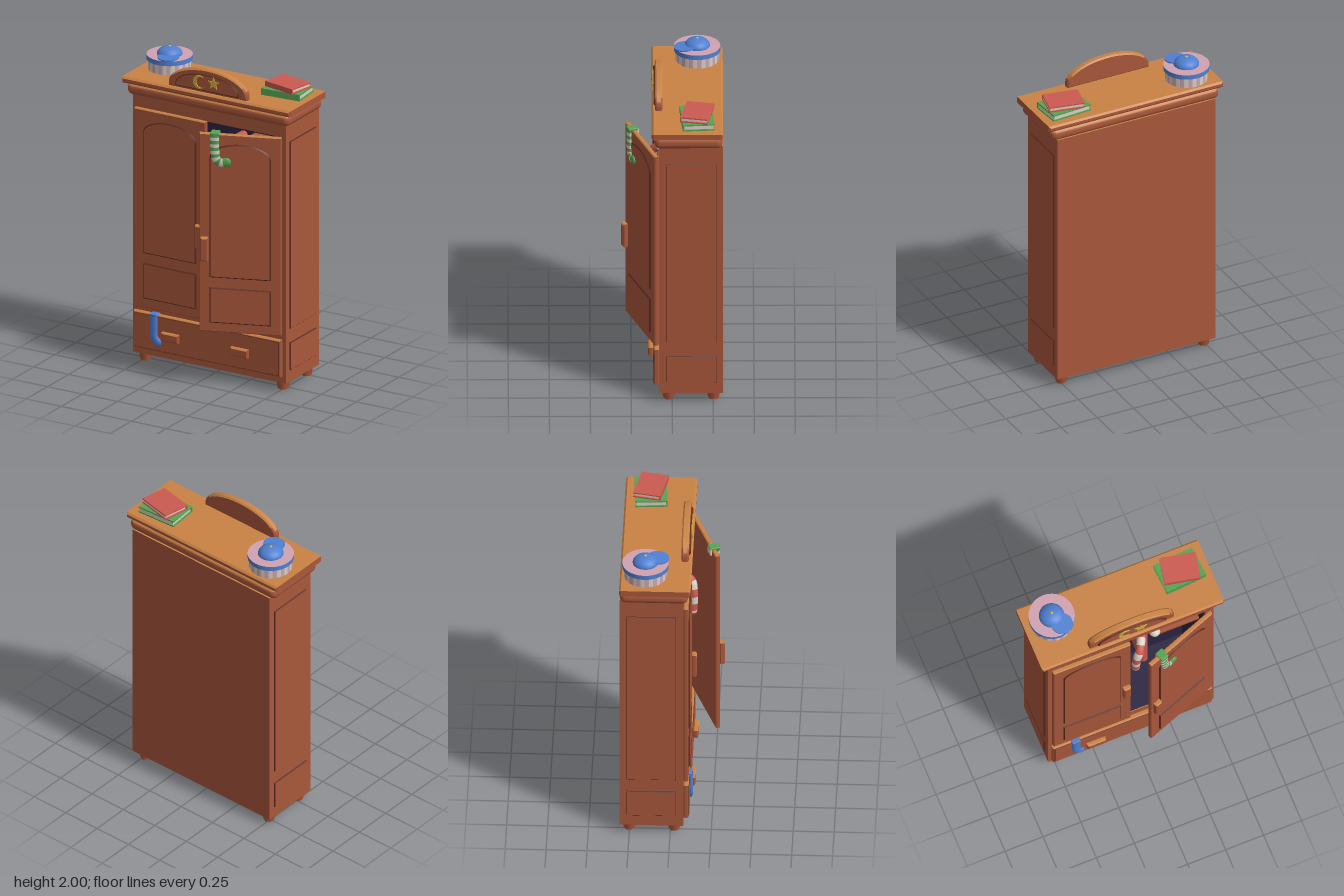
import * as THREE from 'three';
import { RoundedBoxGeometry } from 'three/addons/geometries/RoundedBoxGeometry.js';

const mat = (name, color, side = THREE.FrontSide) => {
  const m = new THREE.MeshStandardMaterial({ color, side });
  m.name = name;
  return m;
};

export function createModel() {
  const wood = mat('wood', 0xa9573b), lightWood = mat('lightWood', 0xc98245), darkWood = mat('darkWood', 0x5a2b1e);
  const navy = mat('navy', 0x2a2440), blue = mat('blue', 0x4f80d2, THREE.DoubleSide), pink = mat('pink', 0xcfa2b2);
  const cream = mat('cream', 0xd8d2c4, THREE.DoubleSide), yellow = mat('yellow', 0xd2ae3c);
  const red = mat('red', 0xcb5a50, THREE.DoubleSide), green = mat('green', 0x55a352, THREE.DoubleSide);

  const model = new THREE.Group();
  model.name = 'wardrobe';
  const add = (name, geo, material, x = 0, y = 0, z = 0, parent = model) => {
    const m = new THREE.Mesh(geo, material);
    m.name = name;
    m.position.set(x, y, z);
    parent.add(m);
    return m;
  };

  // wood part whose upward faces are the lighter wood
  const addWood = (name, geo, x, y, z, parent) => {
    const g = geo.index ? geo.toNonIndexed() : geo;
    g.clearGroups();
    const p = g.attributes.position, up = [], rest = [], t = new THREE.Triangle(), n = new THREE.Vector3();
    for (let i = 0; i < p.count; i += 3) {
      t.setFromAttributeAndIndices(p, i, i + 1, i + 2).getNormal(n);
      (n.y > 0.5 ? up : rest).push(i, i + 1, i + 2);
    }
    g.setIndex([...rest, ...up]);
    g.addGroup(0, rest.length, 0);
    g.addGroup(rest.length, up.length, 1);
    return add(name, g, [wood, lightWood], x, y, z, parent);
  };
  const extrude = (shape, depth, bevel = 0, curveSegments = 12) => new THREE.ExtrudeGeometry(shape, {
    depth: depth - bevel, curveSegments, bevelEnabled: bevel > 0, bevelThickness: bevel, bevelSize: bevel, bevelOffset: -bevel, bevelSegments: 1,
  });
  // rectangle from (x0,y0) to (x1,y1), optionally with an arch rising above it
  const outline = (x0, x1, y0, y1, arch = 0) => {
    const s = new THREE.Shape().moveTo(x0, y0).lineTo(x1, y0).lineTo(x1, y1);
    if (arch) s.absellipse((x0 + x1) / 2, y1, (x1 - x0) / 2, arch, 0, Math.PI, false);
    else s.lineTo(x0, y1);
    s.closePath();
    return s;
  };
  // chamfered block, centred in x and z, standing on y = 0
  const block = (w, h, d, b = 0.008) => {
    const g = new THREE.ExtrudeGeometry(outline(-w / 2, w / 2, 0, h), {
      depth: d - 2 * b, bevelSize: b, bevelThickness: b, bevelOffset: -b, bevelSegments: 1,
    });
    return g.translate(0, 0, -d / 2 + b);
  };

  // carcass with a dark hollow
  const bodyShape = outline(-0.545, 0.545, 0.055, 1.745);
  bodyShape.holes.push(outline(-0.49, 0.49, 0.38, 1.655));
  addWood('body', extrude(bodyShape, 0.36), 0, 0, -0.28);
  addWood('backPanel', new THREE.BoxGeometry(1.09, 1.69, 0.03), 0, 0.9, -0.295);
  const liningShape = outline(-0.489, 0.489, 0.381, 1.654);
  liningShape.holes.push(outline(-0.482, 0.482, 0.388, 1.647));
  add('lining', extrude(liningShape, 0.355), navy, 0, 0, -0.28);
  add('liningBack', new THREE.BoxGeometry(0.97, 1.265, 0.008), navy, 0, 1.018, -0.274);

  // side panels, feet
  for (const s of [-1, 1]) {
    for (const [y0, y1] of [[0.13, 0.31], [0.4, 1.62]]) {
      const p = add('sidePanel', extrude(outline(-0.153, 0.153, y0, y1), 0.009, 0.004), [wood, darkWood], s * 0.545, 0, -0.117);
      p.rotation.y = s * Math.PI / 2;
    }
    for (const z of [0.022, -0.252])
      addWood('foot', new THREE.CylinderGeometry(0.042, 0.033, 0.056, 6), s * 0.49, 0.028, z);
  }

  // cornice
  addWood('corniceRoll', new RoundedBoxGeometry(1.156, 0.08, 0.418, 4, 0.036), 0, 1.773, -0.099);
  addWood('corniceSlab', block(1.2, 0.04, 0.437, 0.011), 0, 1.81, -0.0925);

  // crest with moon and star
  addWood('crest', extrude(outline(-0.28, 0.28, 1.848, 1.872, 0.128), 0.038, 0.009, 24), 0, 0, 0.067);
  add('crestPanel', extrude(outline(-0.225, 0.225, 1.862, 1.878, 0.092), 0.01, 0.007, 24), [wood, darkWood], 0, 0, 0.104);
  const r = 0.044, tip = 0.8, d = 0.014;
  const ix = r * Math.cos(tip) - d, iy = r * Math.sin(tip), beta = Math.atan2(iy, ix);
  const moon = new THREE.Shape().absarc(0, 0, r, tip, 2 * Math.PI - tip, false);
  moon.absarc(d, 0, Math.hypot(ix, iy), -beta, beta, true);
  add('moon', extrude(moon, 0.007), yellow, -0.05, 1.918, 0.113);
  const star = new THREE.Shape();
  for (let i = 0; i < 10; i++) {
    const a = Math.PI / 2 + i * Math.PI / 5, q = i % 2 ? 0.018 : 0.042;
    star[i ? 'lineTo' : 'moveTo'](q * Math.cos(a), q * Math.sin(a));
  }
  add('star', extrude(star, 0.007), yellow, 0.052, 1.925, 0.113);

  // doors: s points from hinge to free edge
  const makeDoor = (name, hingeX, s, angle) => {
    const door = new THREE.Group();
    door.name = name;
    door.position.set(hingeX, 0, 0.08);
    door.rotation.y = angle;
    model.add(door);
    addWood('doorLeaf', block(0.51, 1.29, 0.03, 0.006), s * 0.255, 0.37, 0.015, door);
    for (const [y0, y1, arch] of [[0.43, 0.66, 0], [0.725, 1.51, 0.09]])
      add('doorPanel', extrude(outline(-0.19, 0.19, y0, y1, arch), 0.008, 0.0075, 16), [wood, darkWood], s * 0.255, 0, 0.03, door);
    addWood('doorHandle', block(0.048, 0.155, 0.036), s * 0.475, 0.835, 0.048, door);
    return door;
  };
  makeDoor('rightDoor', -0.52, 1, 0);
  const openDoor = makeDoor('leftDoor', 0.52, -1, 0.355);

  // drawer
  addWood('drawer', block(1.05, 0.24, 0.032, 0.007), 0, 0.1, 0.096);
  add('drawerPanel', extrude(outline(-0.515, 0.515, 0.108, 0.33), 0.004, 0.0038), [wood, darkWood], 0, 0, 0.111);
  for (const s of [-1, 1]) addWood('drawerHandle', block(0.122, 0.055, 0.032), s * 0.247, 0.19, 0.13);

  // flattened cloth tube, striped ring by ring, with a rounded toe
  const sock = (name, pts, radius, flat, colours, every, x, y, z, parent) => {
    const curve = new THREE.CatmullRomCurve3(pts.map(p => new THREE.Vector3(...p)));
    const rings = 22, sides = 12;
    const g = new THREE.TubeGeometry(curve, rings, radius, sides).scale(1, 1, flat);
    for (let j = 0; j < rings; j++) g.addGroup(j * sides * 6, sides * 6, Math.floor(j / every) % colours.length);
    const m = add(name, g, colours, x, y, z, parent);
    const end = pts[pts.length - 1];
    add(name + 'Toe', new THREE.SphereGeometry(radius, 12, 8).scale(1, 1, flat), colours[0], end[0], end[1], end[2] * flat, m);
  };
  const sockPath = [[0, 0, 0], [0, -0.06, 0], [0.003, -0.12, 0], [0.012, -0.165, 0], [0.04, -0.185, 0], [0.075, -0.18, 0]];
  sock('stripedSock', sockPath, 0.028, 0.45, [green, cream], 2, -0.413, 1.665, 0.042, openDoor);
  add('sockFold', new RoundedBoxGeometry(0.056, 0.014, 0.066, 2, 0.006), green, -0.413, 1.666, 0.02, openDoor);
  add('sockCuff', new RoundedBoxGeometry(0.056, 0.05, 0.012, 2, 0.005), cream, -0.413, 1.645, -0.007, openDoor);
  sock('blueSock', [[0, 0, 0], [0, -0.07, 0], [0, -0.11, 0], [0.008, -0.145, 0], [0.028, -0.168, 0]],
    0.028, 0.5, [blue], 1, -0.375, 0.335, 0.12);
  add('blueSockFold', new RoundedBoxGeometry(0.056, 0.014, 0.05, 2, 0.006), blue, -0.375, 0.34, 0.105);

  // clothes inside
  sock('stripedSleeve', [[0.09, 0.06, -0.12], [0.03, 0.01, -0.01], [0.005, -0.06, 0.005], [0, -0.13, 0.005], [0, -0.2, 0]],
    0.027, 1, [red, cream], 3, 0.018, 1.47, 0.118);
  add('hangingShirt', new RoundedBoxGeometry(0.05, 0.5, 0.2, 2, 0.02), red, 0.11, 1.3, -0.06);
  add('ball', new THREE.SphereGeometry(0.035, 16, 12), cream, 0.17, 1.565, 0.05);
  add('shelf', new THREE.BoxGeometry(0.3, 0.02, 0.3), wood, 0.31, 1.52, -0.09);

  // hat box with striped side
  const box = new THREE.Group();
  box.name = 'hatBox';
  box.position.set(-0.425, 1.85, -0.155);
  model.add(box);
  const side = new THREE.CylinderGeometry(0.132, 0.132, 0.07, 32, 1, true);
  side.clearGroups();
  for (let i = 0; i < 32; i++) side.addGroup(i * 6, 6, i % 2);
  add('hatBoxSide', side, [pink, cream], 0, 0.035, 0, box);
  add('hatBoxLid', new THREE.CylinderGeometry(0.142, 0.142, 0.03, 32), [blue, pink, blue], 0, 0.079, 0, box);

  // cap on the box
  add('capDome', new THREE.SphereGeometry(0.079, 20, 8, 0, 2 * Math.PI, 0, Math.PI / 2).scale(1, 0.64, 1), blue, 0, 0.094, 0, box);
  const visor = add('capVisor', new THREE.CylinderGeometry(0.067, 0.067, 0.008, 24), blue, 0.037, 0.104, 0.076, box);
  visor.rotation.x = 0.06;
  add('capButton', new THREE.SphereGeometry(0.01, 10, 6).scale(1, 0.6, 1), yellow, 0, 0.144, 0, box);

  // two books
  const book = (name, w, h, dep, cover, x, y, z, turn) => {
    const b = new THREE.Group();
    b.name = name;
    b.position.set(x, y, z);
    b.rotation.y = turn;
    model.add(b);
    for (const yy of [0.004, h - 0.004]) add('cover', new THREE.BoxGeometry(w, 0.008, dep), cover, 0, yy, 0, b);
    add('spine', new THREE.BoxGeometry(w, h, 0.008), cover, 0, h / 2, dep / 2 - 0.004, b);
    add('pages', new THREE.BoxGeometry(w - 0.016, h - 0.016, dep - 0.016), cream, 0, h / 2, -0.002, b);
  };
  book('greenBook', 0.265, 0.042, 0.195, green, 0.417, 1.85, -0.152, 0.07);
  book('redBook', 0.225, 0.034, 0.17, red, 0.42, 1.892, -0.152, -0.2);

  return model;
}
